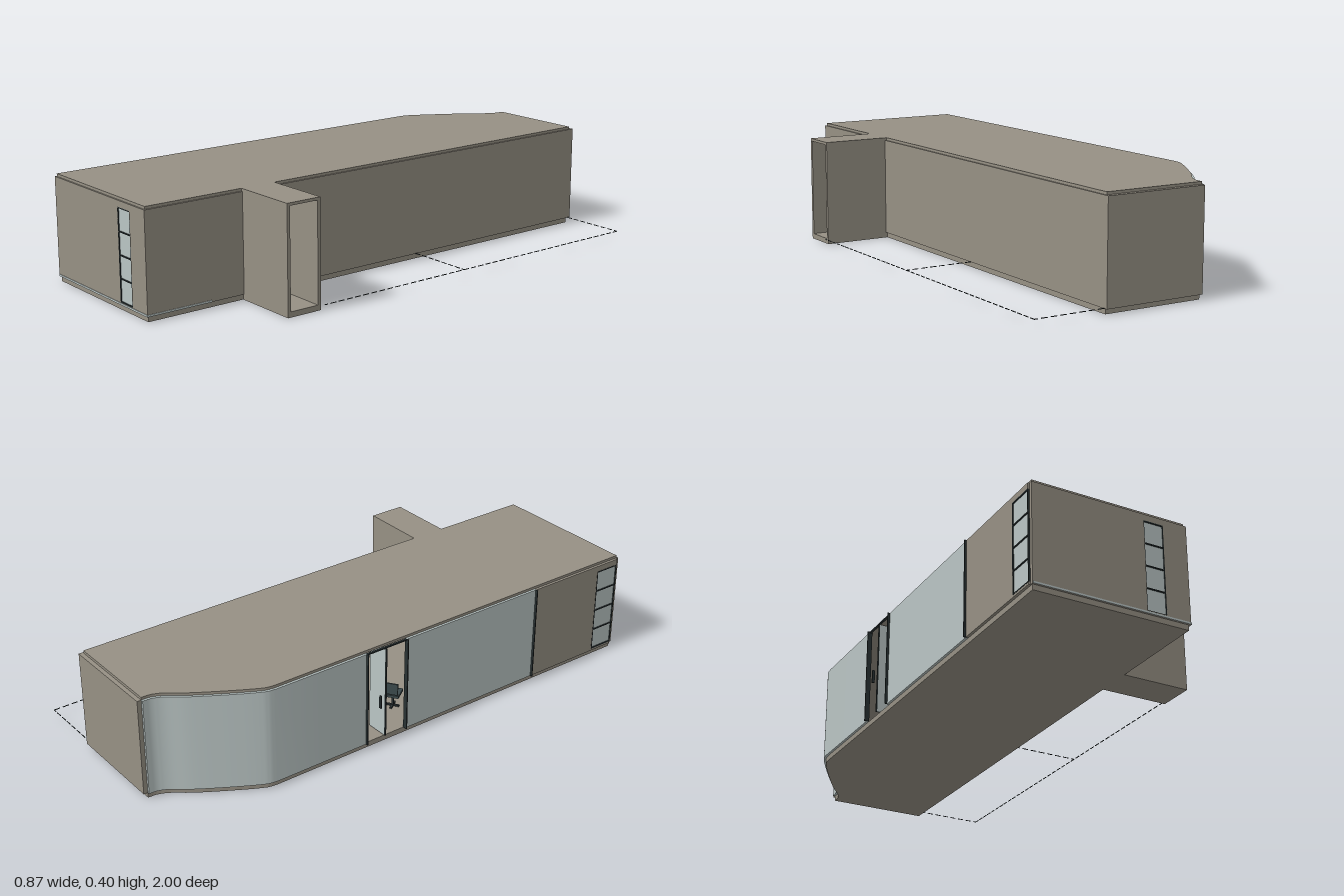
import * as THREE from 'three';
import { toCreasedNormals } from 'three/addons/utils/BufferGeometryUtils.js';

const mat = (name, color) => {
  const m = new THREE.MeshStandardMaterial({ color });
  m.name = name;
  return m;
};

export function createModel() {
  const root = new THREE.Group();
  root.name = 'pavilion';
  const stone = mat('warm grey cladding', 0x969084);
  const glass = mat('pale glass', 0xbac5c4);
  const dark = mat('dark frame', 0x283133);
  const slate = mat('slate upholstery', 0x3c4a4d);

  // Box given by its minimum and maximum corners
  const box = (name, m, x0, x1, y0, y1, z0, z1, parent = root) => {
    const mesh = new THREE.Mesh(new THREE.BoxGeometry(x1 - x0, y1 - y0, z1 - z0), m);
    mesh.position.set((x0 + x1) / 2, (y0 + y1) / 2, (z0 + z1) / 2);
    mesh.name = name;
    parent.add(mesh);
    return mesh;
  };

  // Extrudes a plan outline of [x, z] points upward
  const plan = (name, m, pts, y0, y1) => {
    const shape = new THREE.Shape(pts.map(([x, z]) => new THREE.Vector2(x, -z)));
    const geo = new THREE.ExtrudeGeometry(shape, { depth: y1 - y0, bevelEnabled: false });
    geo.rotateX(-Math.PI / 2);
    const mesh = new THREE.Mesh(toCreasedNormals(geo, 0.5), m);
    mesh.position.y = y0;
    mesh.name = name;
    root.add(mesh);
  };

  // S-shaped corner from the back wall to the long glazed side
  const knots = [[-0.22, -0.982], [-0.222, -0.95], [-0.238, -0.912], [-0.285, -0.848],
    [-0.35, -0.742], [-0.4, -0.652], [-0.414, -0.62], [-0.418, -0.59]];
  const curve = new THREE.CatmullRomCurve3(knots.map(([x, z]) => new THREE.Vector3(x, 0, z)));
  const corner = curve.getPoints(36).map(p => [p.x, p.z]);

  // Floor and roof slabs, including the side passage
  const outline = [...corner, [-0.418, 0.992], [0.162, 0.992], [0.162, 0.61],
    [0.42, 0.61], [0.42, 0.472], [0.162, 0.472], [0.162, -0.982]];
  plan('floorSlab', stone, outline, 0, 0.02);
  plan('roofSlab', stone, outline, 0.385, 0.395);

  // Curved glazing: the corner line thickened outward
  const run = [...corner, [-0.418, -0.4], [-0.418, -0.215]];
  const outer = run.map(([x, z], i) => {
    const a = run[Math.max(i - 1, 0)], b = run[Math.min(i + 1, run.length - 1)];
    const dx = b[0] - a[0], dz = b[1] - a[1], l = Math.hypot(dx, dz);
    return [x - (dz / l) * 0.009, z + (dx / l) * 0.009];
  });
  plan('curvedGlazing', glass, [...run, ...outer.reverse()], 0.02, 0.385);
  box('sideGlazing', glass, -0.427, -0.418, 0.02, 0.385, -0.04, 0.568);

  // Glazing end posts and the open entrance door
  for (const z of [-0.215, -0.04, 0.568]) box('glazingPost', dark, -0.436, -0.418, 0.02, 0.385, z - 0.002, z + 0.002);
  box('doorHead', dark, -0.428, -0.42, 0.38, 0.385, -0.215, -0.04);
  box('doorLeaf', glass, -0.425, -0.34, 0.025, 0.378, -0.134, -0.128);
  box('doorEdge', dark, -0.429, -0.425, 0.025, 0.378, -0.134, -0.128);
  box('doorHandle', dark, -0.437, -0.427, 0.15, 0.2, -0.16, -0.155);

  // Solid walls
  box('backWall', stone, -0.22, 0.168, 0.02, 0.385, -0.998, -0.982);
  box('rightWallRear', stone, 0.155, 0.168, 0.02, 0.385, -0.982, 0.472);
  box('rightWallFront', stone, 0.155, 0.168, 0.02, 0.385, 0.61, 0.985);
  box('leftWall', stone, -0.428, -0.415, 0.02, 0.385, 0.57, 0.885);
  box('leftWindowSill', stone, -0.428, -0.415, 0.02, 0.03, 0.885, 0.985);
  box('leftWindowHead', stone, -0.428, -0.415, 0.362, 0.385, 0.885, 0.985);

  // Front wall with a tall window opening
  const front = new THREE.Shape([[-0.422, 0.02], [0.168, 0.02], [0.168, 0.385], [-0.422, 0.385]]
    .map(p => new THREE.Vector2(...p)));
  front.holes.push(new THREE.Path([[0, 0.03], [0, 0.362], [0.075, 0.362], [0.075, 0.03]]
    .map(p => new THREE.Vector2(...p))));
  const frontWall = new THREE.Mesh(new THREE.ExtrudeGeometry(front, { depth: 0.013, bevelEnabled: false }), stone);
  frontWall.position.z = 0.985;
  frontWall.name = 'frontWall';
  root.add(frontWall);

  // Four-pane window, built facing +z
  const paneWindow = (name, w) => {
    const g = new THREE.Group();
    g.name = name;
    box('panes', glass, -w / 2, w / 2, 0.03, 0.362, -0.006, 0, g);
    for (let i = 0; i <= 4; i++) {
      const y = 0.03 + i * 0.0825;
      box('crossbar', dark, -w / 2, w / 2, y - 0.002, y + 0.002, -0.006, 0.004, g);
    }
    for (const s of [-1, 1]) box('jamb', dark, s * w / 2 - 0.0015, s * w / 2 + 0.0015, 0.03, 0.362, -0.006, 0.004, g);
    root.add(g);
    return g;
  };
  paneWindow('frontWindow', 0.075).position.set(0.0375, 0, 0.994);
  const sideWindow = paneWindow('leftWindow', 0.098);
  sideWindow.rotation.y = -Math.PI / 2;
  sideWindow.position.set(-0.425, 0, 0.935);

  // Pale strips at the foot of the front corner
  box('frontBaseStrip', glass, -0.42, 0.17, 0.02, 0.027, 0.996, 1);
  box('rightBaseStrip', glass, 0.166, 0.17, 0.02, 0.027, 0.745, 1);

  // Open-ended side passage
  box('passageWallRear', stone, 0.155, 0.42, 0.02, 0.385, 0.472, 0.484);
  box('passageWallFront', stone, 0.155, 0.42, 0.02, 0.385, 0.598, 0.61);

  // Desk chairs inside, seen through the passage
  const chair = (x, z, turn) => {
    const g = new THREE.Group();
    g.name = 'chair';
    box('seat', slate, -0.03, 0.03, 0.07, 0.08, -0.03, 0.03, g);
    box('backrest', slate, -0.028, 0.028, 0.085, 0.13, -0.032, -0.026, g);
    box('stem', dark, -0.004, 0.004, 0.025, 0.07, -0.004, 0.004, g);
    box('foot', dark, -0.025, 0.025, 0.02, 0.026, -0.004, 0.004, g);
    box('foot', dark, -0.004, 0.004, 0.02, 0.026, -0.025, 0.025, g);
    g.position.set(x, 0, z);
    g.rotation.y = turn;
    root.add(g);
  };
  chair(-0.25, 0.515, Math.PI / 2);
  chair(-0.25, 0.61, -0.4);
  chair(-0.28, 0.02, 0.6);

  // Dashed boundary on the ground beside the right wall
  const dashes = (x0, z0, x1, z1) => {
    const dx = x1 - x0, dz = z1 - z0, len = Math.hypot(dx, dz);
    for (let d = 0; d < len; d += 0.036) {
      const e = Math.min(d + 0.022, len), h = 0.0012;
      box('boundaryDash', dark, x0 + dx * d / len - h, x0 + dx * e / len + h, 0.02, 0.0225,
        z0 + dz * d / len - h, z0 + dz * e / len + h);
    }
  };
  dashes(0.434, -0.985, 0.434, 0.465);
  dashes(0.17, -0.985, 0.434, -0.985);
  dashes(0.17, -0.172, 0.434, -0.172);

  return root;
}
